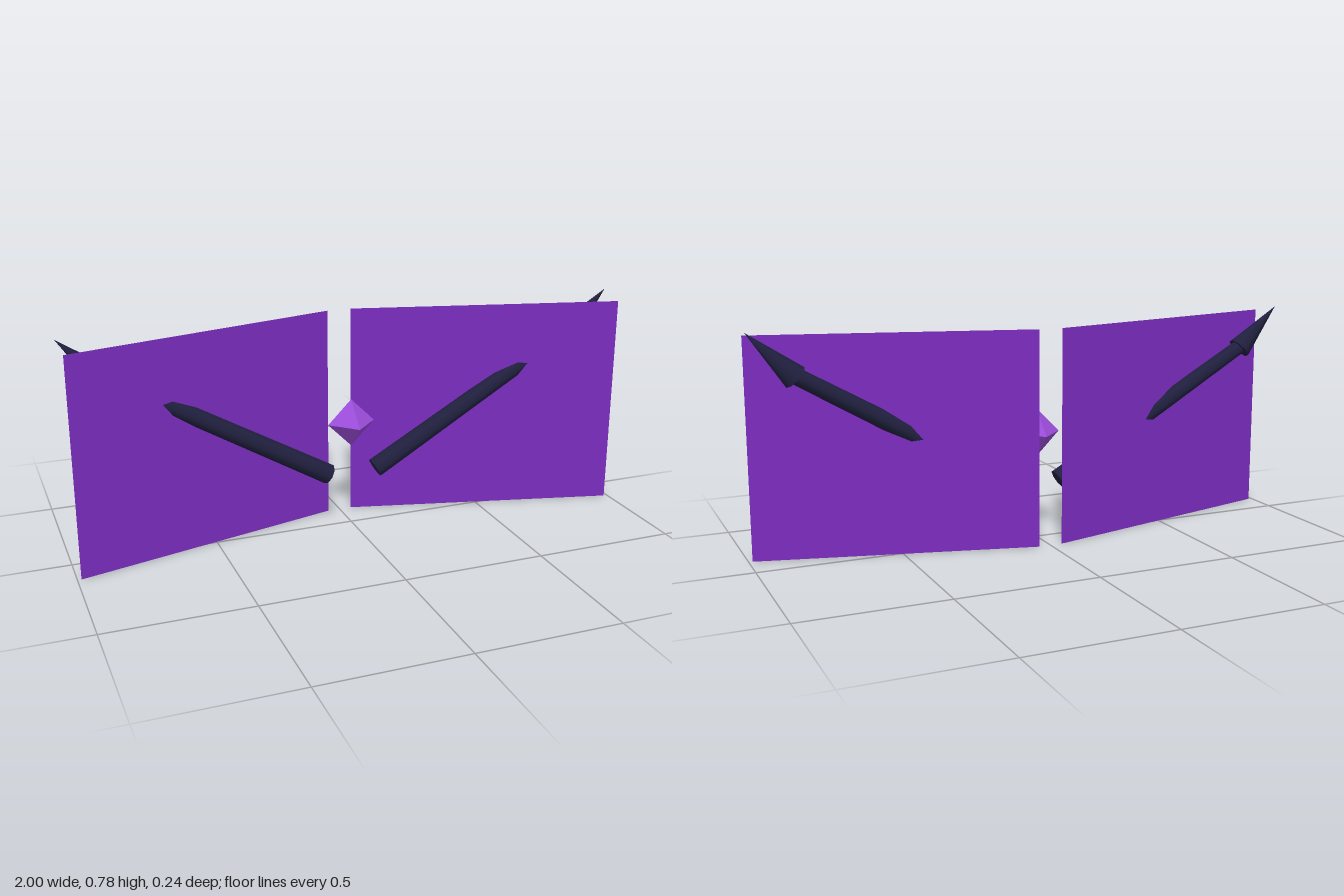
import * as THREE from 'three';

const mat = (name, color, side = THREE.FrontSide) => {
  const m = new THREE.MeshStandardMaterial({ color, side });
  m.name = name;
  return m;
};

// Tapered rod between two points
function rod(name, from, to, r0, r1, sides, material) {
  const a = new THREE.Vector3(...from), b = new THREE.Vector3(...to);
  const dir = b.clone().sub(a);
  const mesh = new THREE.Mesh(new THREE.CylinderGeometry(r1, r0, dir.length(), sides), material);
  mesh.name = name;
  mesh.position.copy(a).add(b).multiplyScalar(0.5);
  mesh.quaternion.setFromUnitVectors(new THREE.Vector3(0, 1, 0), dir.normalize());
  return mesh;
}

export function createModel() {
  const membraneMat = mat('purple membrane', 0x7b2cbf, THREE.DoubleSide);
  const boneMat = mat('dark bone', 0x20203f);
  const gemMat = mat('violet gem', 0x9d4edd);
  const model = new THREE.Group();
  model.name = 'wings';

  for (const [name, s] of [['leftWing', 1], ['rightWing', -1]]) {
    const wing = new THREE.Group();
    wing.name = name;

    // Flat membrane, its outer edge swept forward
    const membrane = new THREE.Mesh(new THREE.PlaneGeometry(0.974, 0.76), membraneMat);
    membrane.name = 'membrane';
    membrane.position.set(s * 0.515, 0.38, 0);
    membrane.rotation.y = -s * Math.atan2(0.24, 0.944);

    // Bone crossing the membrane, ending in a steeper claw
    const bone = rod('bone', [s * 0.088, 0.2, 0.01], [s * 0.855, 0.643, 0.01], 0.036, 0.028, 8, boneMat);
    const claw = rod('claw', [s * 0.842, 0.63, 0.01], [s * 0.998, 0.782, 0.01], 0.044, 0, 8, boneMat);
    wing.add(membrane, bone, claw);
    model.add(wing);
  }

  // Gem between the wings
  const gem = new THREE.Mesh(new THREE.OctahedronGeometry(0.086), gemMat);
  gem.name = 'gem';
  gem.position.set(0, 0.38, 0);
  model.add(gem);
  return model;
}
